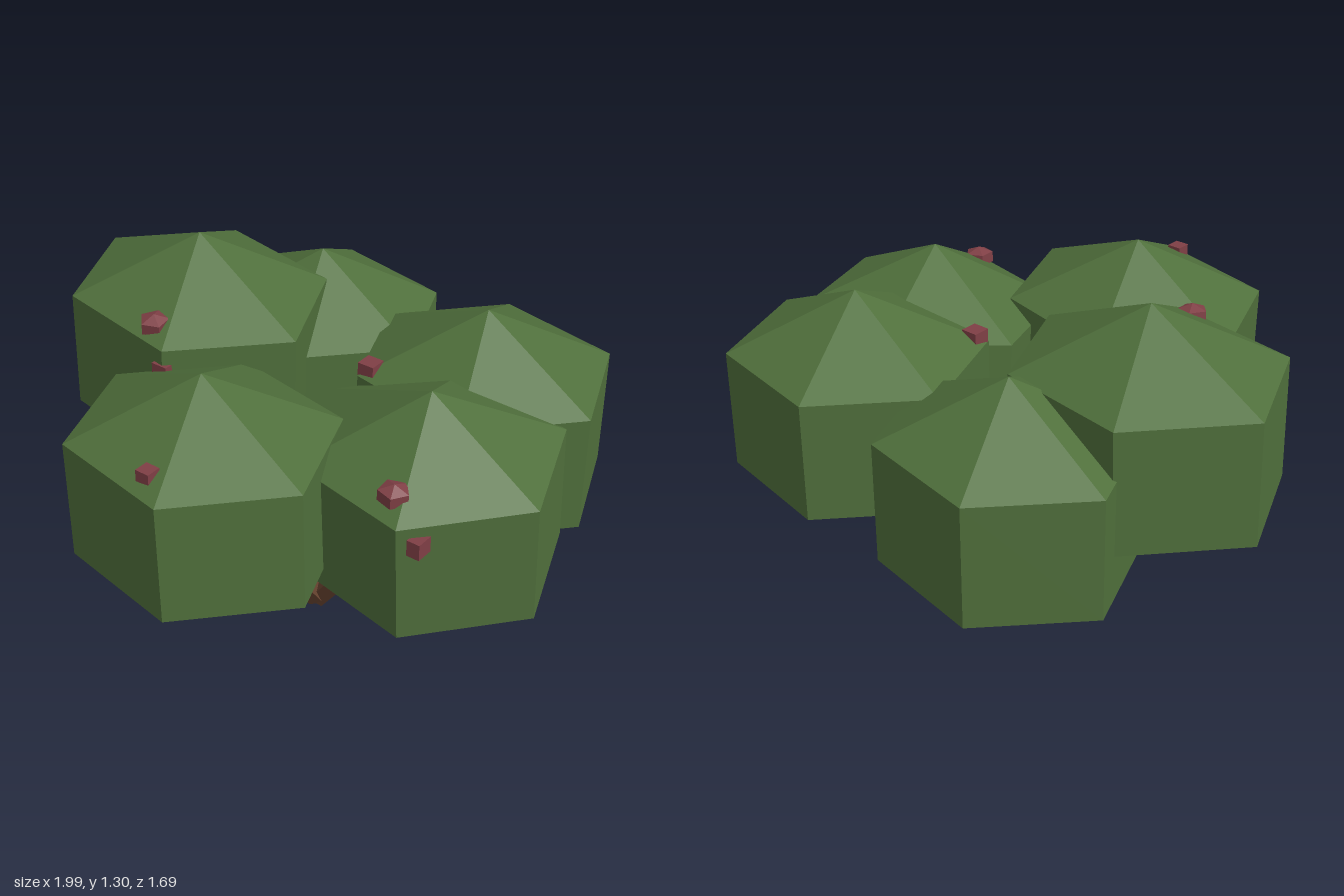
import * as THREE from 'three';

export function createModel() {
  const tree = new THREE.Group();
  tree.name = 'tree';

  const leafGreen = new THREE.MeshStandardMaterial({ color: 0x50703c, flatShading: true });
  leafGreen.name = 'leaf green';
  const barkBrown = new THREE.MeshStandardMaterial({ color: 0x6b4632, flatShading: true });
  barkBrown.name = 'bark brown';
  const fruitRed = new THREE.MeshStandardMaterial({ color: 0x7f3f45, flatShading: true });
  fruitRed.name = 'fruit red';

  function add(parent, name, geometry, material, position, scale = [1, 1, 1], rotation = [0, 0, 0]) {
    const mesh = new THREE.Mesh(geometry, material);
    mesh.name = name;
    mesh.position.set(...position);
    mesh.scale.set(...scale);
    mesh.rotation.set(...rotation);
    parent.add(mesh);
    return mesh;
  }

  // Leaf crowns: six-sided faceted globes, each carried by its own branch
  const crowns = [
    { name: 'frontCrown', at: [0.075, 0.785, 0.475], size: [0.54, 0.415, 0.49], tilt: [0, 0, 0.02] },
    { name: 'rightCrown', at: [-0.515, 0.89, 0.03], size: [0.555, 0.42, 0.485], tilt: [0, 0.03, -0.02] },
    { name: 'leftCrown', at: [0.545, 0.74, -0.055], size: [0.52, 0.415, 0.49], tilt: [0.05, 0, 0] },
    { name: 'backLeftCrown', at: [0.345, 0.772, -0.485], size: [0.525, 0.413, 0.485], tilt: [0, 0.01, 0] },
    { name: 'backRightCrown', at: [-0.38, 0.733, -0.41], size: [0.52, 0.418, 0.465], tilt: [0, 0.01, 0] },
  ];
  const globe = new THREE.SphereGeometry(1, 6, 3);
  const root = new THREE.Vector3(0.01, 0.035, -0.05);
  const up = new THREE.Vector3(0, 1, 0);

  for (const crown of crowns) {
    add(tree, crown.name, globe, leafGreen, crown.at, crown.size, crown.tilt);

    // Branch from the shared root into the underside of the crown
    const reach = new THREE.Vector3(...crown.at).sub(root).multiplyScalar(0.72);
    const middle = root.clone().addScaledVector(reach, 0.5);
    const stick = new THREE.CylinderGeometry(0.048, 0.048, reach.length(), 5);
    const branch = add(tree, crown.name.replace('Crown', 'Branch'), stick, barkBrown, middle.toArray());
    branch.quaternion.setFromUnitVectors(up, reach.normalize());
  }

  // Fruits: a faceted cap on a short stalk
  const cap = new THREE.SphereGeometry(1, 5, 3);
  const stalk = new THREE.CylinderGeometry(0.016, 0.016, 0.09, 5);
  const fruits = [
    { at: [-0.37, 1.13, 0.33], tilt: [0.1, 0.3, -0.1] },
    { at: [0.685, 0.98, 0.25], tilt: [0.1, 0.9, -0.1] },
  ];
  for (const { at, tilt } of fruits) {
    const fruit = new THREE.Group();
    fruit.name = 'fruit';
    fruit.position.set(...at);
    fruit.rotation.set(...tilt);
    add(fruit, 'fruitCap', cap, fruitRed, [0, 0, 0], [0.058, 0.038, 0.058]);
    add(fruit, 'fruitStalk', stalk, fruitRed, [0, -0.035, 0.01]);
    tree.add(fruit);
  }

  // Half-buried fruits showing only a small bump through the leaves
  const bump = new THREE.BoxGeometry(1, 1, 1);
  const bumps = [
    [[0.81, 0.87, 0.265], [0.045, 0.055, 0.06]],
    [[-0.275, 1.02, 0.36], [0.06, 0.045, 0.07]],
    [[-0.54, 1.035, 0.38], [0.015, 0.075, 0.02]],
    [[0.195, 1.035, 0.78], [0.05, 0.04, 0.05]],
    [[0.14, 1.0, -0.16], [0.06, 0.05, 0.06]],
  ];
  for (const [at, size] of bumps) {
    add(tree, 'buriedFruit', bump, fruitRed, at, size, [0, 0.2, 0]);
  }

  return tree;
}
